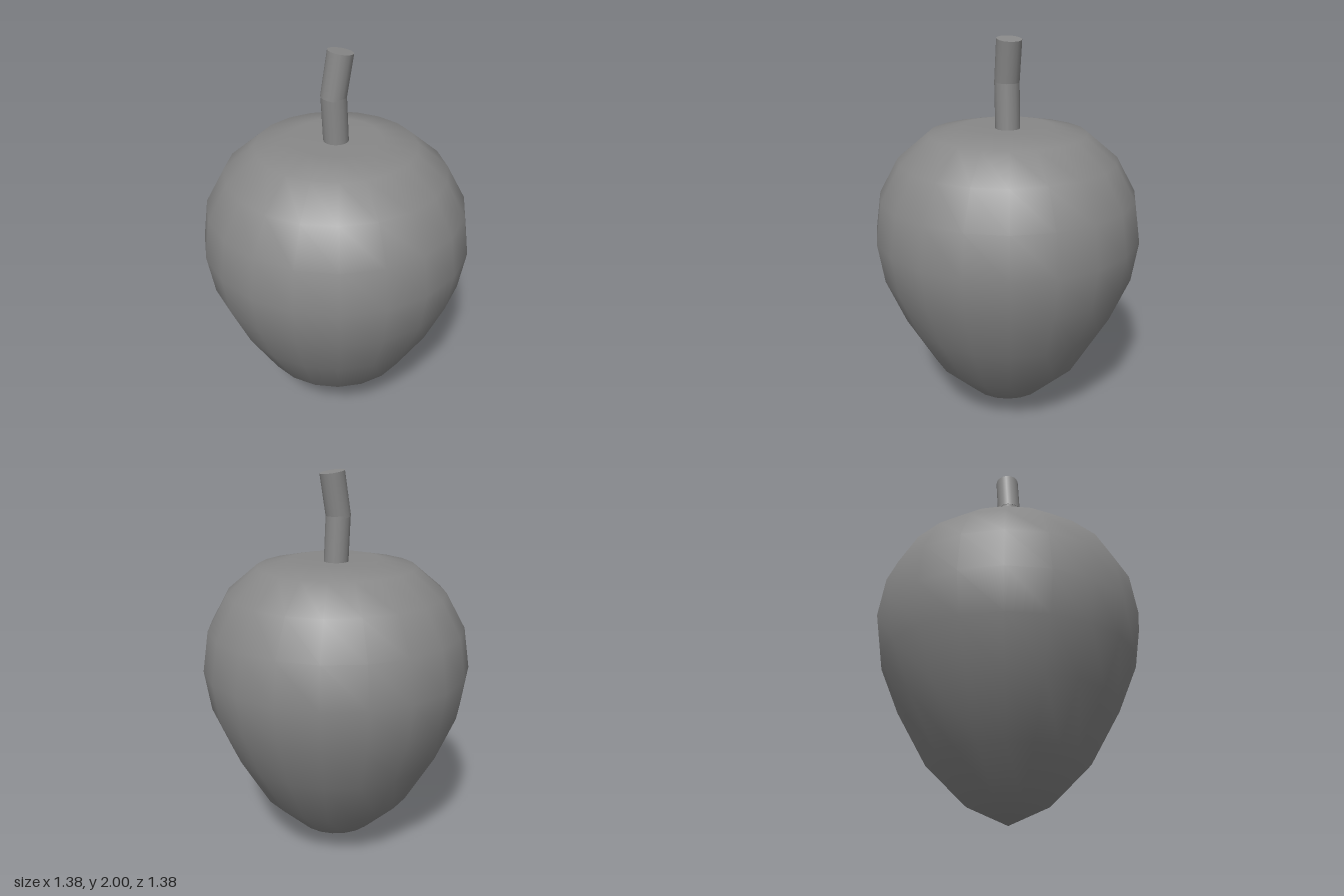
import * as THREE from 'three';

const material = new THREE.MeshStandardMaterial({ color: 0x888888 });

// Straight cylinder running from point a to point b
function rod(name, a, b, radius) {
  const axis = b.clone().sub(a);
  const mesh = new THREE.Mesh(new THREE.CylinderGeometry(radius, radius, axis.length(), 16), material);
  mesh.position.copy(a).add(b).multiplyScalar(0.5);
  mesh.quaternion.setFromUnitVectors(new THREE.Vector3(0, 1, 0), axis.normalize());
  mesh.name = name;
  return mesh;
}

export function createModel() {
  const model = new THREE.Group();
  model.name = 'fruit';

  // Body: a 20-sided ball, drawn out to a point below and flattened with a slight dimple above
  const rings = [
    [0, 0], [0.213, 0.1], [0.406, 0.29], [0.56, 0.56], [0.66, 0.8], [0.692, 1.01],
    [0.66, 1.22], [0.56, 1.4], [0.404, 1.53], [0.225, 1.567], [0, 1.545]
  ];
  const bodyGeometry = new THREE.LatheGeometry(rings.map(([r, y]) => new THREE.Vector2(r, y)), 20);

  // Smooth normals at both poles
  const normal = bodyGeometry.attributes.normal;
  for (let i = 0; i < normal.count; i++) {
    const ring = i % rings.length;
    if (ring === 0) normal.setXYZ(i, 0, -1, 0);
    if (ring === rings.length - 1) normal.setXYZ(i, 0, 1, 0);
  }
  const body = new THREE.Mesh(bodyGeometry, material);
  body.name = 'body';
  model.add(body);

  // Stem: two straight pieces meeting at a kink
  const stem = new THREE.Group();
  stem.name = 'stem';
  stem.add(
    rod('lowerStem', new THREE.Vector3(0.005, 1.45, 0), new THREE.Vector3(-0.012, 1.78, 0), 0.063),
    rod('upperStem', new THREE.Vector3(-0.014, 1.768, 0), new THREE.Vector3(0.022, 1.989, 0), 0.063)
  );
  model.add(stem);

  return model;
}
